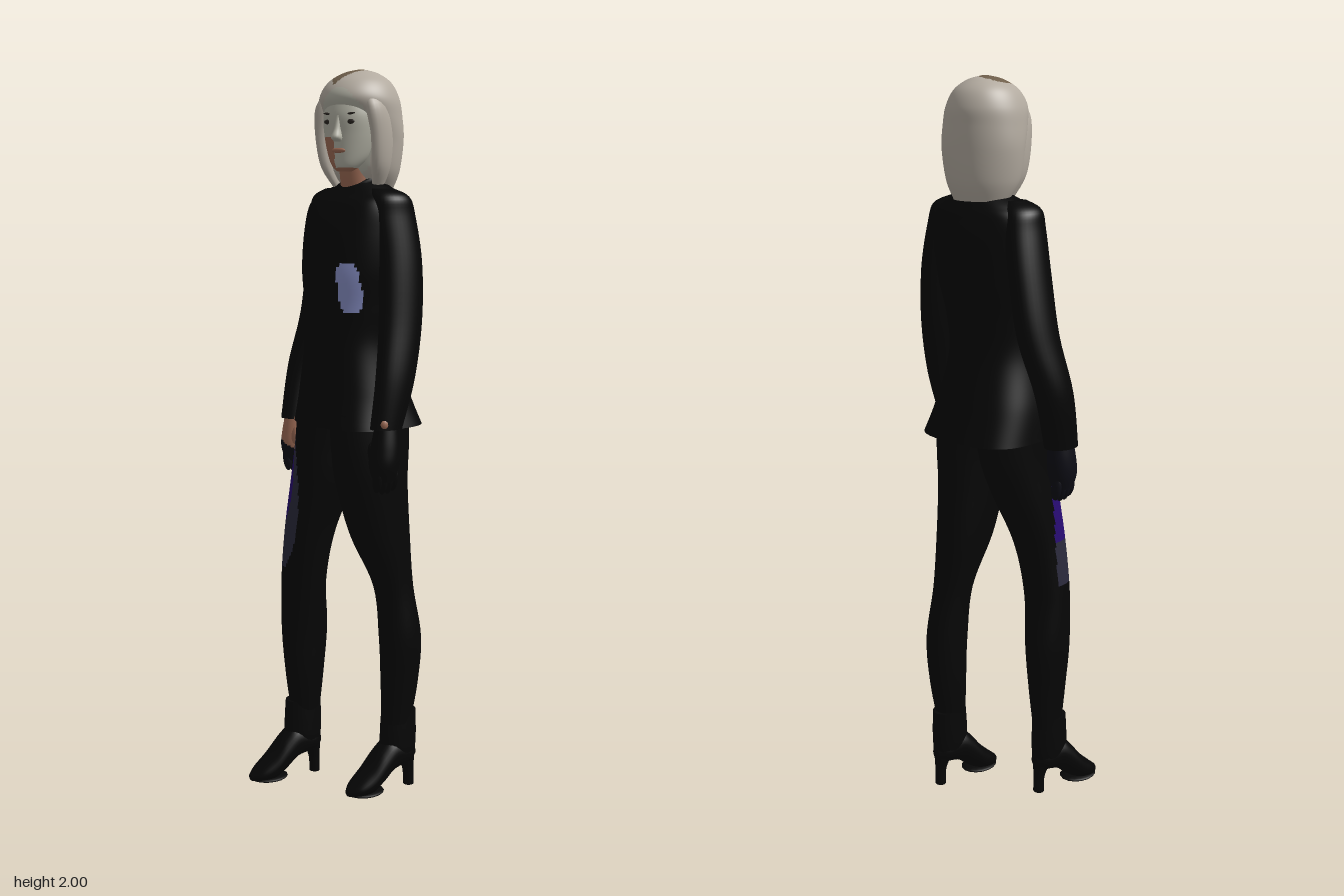
import * as THREE from 'three';

const mat = (name, color) => {
  const m = new THREE.MeshStandardMaterial({ color });
  m.name = name;
  return m;
};

// Smooth body from sections [height, centreX, centreZ, radiusX, radiusZ, roundness = 1], lowest first;
// roundness below 1 is boxier. pick(x, y, z) returns the index of the material for each face.
function loft(name, sections, mats, { seg = 32, steps = 6, pick = () => 0 } = {}) {
  const list = [].concat(mats), pos = [], groups = list.map(() => []);
  const at = (i) => sections[Math.min(Math.max(i, 0), sections.length - 1)];
  const rows = (sections.length - 1) * steps;
  const bend = (v, p) => Math.sign(v) * Math.abs(v) ** p;
  const centres = [];
  for (let r = 0; r <= rows; r++) {
    const i = Math.min(Math.floor(r / steps), sections.length - 2), t = r / steps - i;
    const [y, cx, cz, rx, rz, p = 1] = at(i).map((b, k) => {
      const a = at(i - 1)[k], c = at(i + 1)[k], d = at(i + 2)[k];
      return b + 0.5 * t * (c - a + t * (2 * a - 5 * b + 4 * c - d + t * (3 * (b - c) + d - a)));
    });
    centres.push([cx, y, cz]);
    for (let j = 0; j < seg; j++) {
      const a = (j / seg) * Math.PI * 2;
      pos.push(cx + rx * bend(Math.cos(a), p), y, cz + rz * bend(Math.sin(a), p));
    }
  }
  const mid = (a, b, k) => (pos[a * 3 + k] + pos[b * 3 + k]) / 2;
  for (let r = 0; r < rows; r++) for (let j = 0; j < seg; j++) {
    const n = (j + 1) % seg, a = r * seg + j, b = r * seg + n, c = a + seg, d = b + seg;
    groups[pick(mid(a, d, 0), mid(a, d, 1), mid(a, d, 2))].push(a, c, b, b, c, d);
  }
  // end caps with their own vertices, so the rims stay sharp
  for (const r of [0, rows]) {
    const start = pos.length / 3;
    pos.push(...pos.slice(r * seg * 3, (r + 1) * seg * 3), ...centres[r]);
    const g = groups[pick(...centres[r])];
    for (let j = 0; j < seg; j++) {
      const a = start + j, b = start + (j + 1) % seg;
      g.push(start + seg, ...(r ? [b, a] : [a, b]));
    }
  }
  const geo = new THREE.BufferGeometry();
  geo.setAttribute('position', new THREE.Float32BufferAttribute(pos, 3));
  geo.setIndex(groups.flat());
  let from = 0;
  groups.forEach((g, i) => { geo.addGroup(from, g.length, i); from += g.length; });
  geo.computeVertexNormals();
  const mesh = new THREE.Mesh(geo, list.length > 1 ? list : list[0]);
  mesh.name = name;
  return mesh;
}

// Stretched ball for small rounded parts
function blob(name, m, [x, y, z], [sx, sy, sz], tilt = 0) {
  const mesh = new THREE.Mesh(new THREE.SphereGeometry(1, 16, 12), m);
  mesh.name = name;
  mesh.position.set(x, y, z);
  mesh.scale.set(sx, sy, sz);
  mesh.rotation.z = tilt;
  return mesh;
}

export function createModel() {
  const black = mat('black cloth', 0x060606), hairMat = mat('silver hair', 0xb3aba0);
  const partMat = mat('brown parting', 0x6e5e4a), faceMat = mat('pale face', 0xb2b1a4);
  const skin = mat('skin', 0x9c6a54), glove = mat('dark glove', 0x0d0d15);
  const purple = mat('purple patch', 0x280c72), slate = mat('slate patch', 0x2b2a3c);
  const badge = mat('light blue badge', 0x8b93ca), dark = mat('eye dark', 0x2b2622);
  const model = new THREE.Group();
  model.name = 'standingWoman';

  // Jacket with a chest badge
  model.add(loft('jacket', [
    [1.06, 0.02, -0.045, 0.17, 0.148, 0.68], [1.15, 0.014, -0.036, 0.155, 0.13, 0.8],
    [1.28, 0.015, -0.022, 0.132, 0.115, 0.92], [1.38, 0.02, -0.022, 0.138, 0.12, 1],
    [1.48, 0.025, -0.028, 0.15, 0.135, 1], [1.58, 0.025, -0.038, 0.156, 0.127, 0.92],
    [1.65, 0.022, -0.045, 0.154, 0.1, 0.82], [1.68, 0.022, -0.052, 0.125, 0.078, 0.9],
    [1.71, 0.028, -0.055, 0.058, 0.055, 1],
  ], [black, badge], {
    seg: 112, steps: 10,
    pick: (x, y, z) => +(z > 0 && Math.abs(x - 0.122) < 0.024 && Math.abs(y - 1.437) < 0.064 &&
      Math.abs(x - 0.122) / 0.024 + Math.abs(y - 1.437) / 0.064 < 1.6),
  }));
  const collar = new THREE.Mesh(new THREE.TorusGeometry(0.054, 0.01, 8, 32), black);
  collar.name = 'collar';
  collar.position.set(0.028, 1.715, -0.05);
  collar.rotation.x = Math.PI / 2 + 0.4;
  model.add(collar);

  // Sleeves
  model.add(loft('leftSleeve', [
    [1.07, 0.208, 0.008, 0.035, 0.047], [1.2, 0.208, -0.022, 0.038, 0.06],
    [1.35, 0.192, -0.052, 0.042, 0.066], [1.5, 0.176, -0.062, 0.044, 0.067],
    [1.62, 0.158, -0.055, 0.045, 0.064], [1.67, 0.15, -0.05, 0.044, 0.053],
    [1.692, 0.12, -0.047, 0.028, 0.03],
  ], black));
  model.add(loft('rightSleeve', [
    [1.05, -0.195, 0.002, 0.04, 0.052], [1.2, -0.2, -0.035, 0.043, 0.06],
    [1.35, -0.17, -0.064, 0.045, 0.066], [1.5, -0.141, -0.064, 0.045, 0.067],
    [1.62, -0.115, -0.055, 0.046, 0.063], [1.67, -0.103, -0.05, 0.045, 0.053],
    [1.692, -0.075, -0.045, 0.028, 0.03],
  ], black));

  // Hands, the right one bare on its inner front
  const hand = (name, cx, cz, side, cover, thumb) => {
    const g = new THREE.Group();
    g.name = name;
    g.add(loft('palm', [
      [0.93, cx, cz + 0.005, 0.026, 0.03], [0.97, cx, cz + 0.005, 0.037, 0.042],
      [1.02, cx, cz, 0.036, 0.042], [1.09, cx, cz - 0.005, 0.026, 0.032],
    ], [cover, thumb], {
      seg: 48, steps: 10,
      pick: (x, y, z) => +(y > 0.985 + (cx - x) * 0.6 && z > cz - 0.01 && x > cx - 0.022),
    }));
    for (let i = 0; i < 4; i++) {
      g.add(blob('finger', cover, [cx + side * 0.004, 0.935 - (i % 3 ? 0.006 : 0), cz - 0.024 + i * 0.018],
        [0.016, 0.036, 0.011], side * -0.15));
    }
    g.add(blob('thumb', thumb, [cx - side * 0.025, 0.998, cz + 0.022], [0.014, 0.034, 0.014], side * 0.2));
    return g;
  };
  model.add(hand('leftHand', 0.206, 0.008, 1, black, black));
  model.add(hand('rightHand', -0.188, 0.012, -1, glove, skin));
  model.add(blob('leftKnuckle', skin, [0.228, 1.085, 0.03], [0.012, 0.016, 0.014]));

  // Trousers: the right leg forward with a patched thigh, the left leg back
  const inside = (x, y, cx, cy, rx, ry) => ((x - cx) / rx) ** 2 + ((y - cy) / ry) ** 2 < 1;
  model.add(loft('rightLeg', [
    [0.2, -0.135, 0.025, 0.036, 0.045, 1], [0.32, -0.13, 0.03, 0.046, 0.06, 1],
    [0.45, -0.13, 0.03, 0.055, 0.069, 0.95], [0.6, -0.118, 0.04, 0.062, 0.062, 0.9],
    [0.75, -0.098, 0.03, 0.068, 0.072, 0.9], [0.9, -0.073, -0.003, 0.08, 0.101, 0.95],
    [1.0, -0.062, -0.024, 0.084, 0.118, 1], [1.1, -0.055, -0.032, 0.09, 0.12, 1],
  ], [black, slate, purple], {
    seg: 80, steps: 12,
    pick: (x, y, z) => z < 0.02 || y > 1.035 ? 0 : inside(x, y, -0.15, 0.91, 0.06, 0.145) ? 2
      : inside(x, y, -0.15, 0.85, 0.086, 0.22) ? 1 : 0,
  }));
  model.add(loft('leftLeg', [
    [0.2, 0.108, -0.118, 0.037, 0.045, 1], [0.32, 0.112, -0.125, 0.047, 0.057, 1],
    [0.45, 0.117, -0.122, 0.053, 0.062, 0.95], [0.6, 0.11, -0.102, 0.052, 0.054, 0.85],
    [0.75, 0.1, -0.062, 0.067, 0.085, 0.85], [0.9, 0.098, -0.033, 0.077, 0.106, 0.9],
    [1.0, 0.097, -0.028, 0.082, 0.119, 1], [1.1, 0.09, -0.03, 0.088, 0.12, 1],
  ], black));

  // High-heeled ankle boots
  const boot = (name, x, z, turn) => {
    const g = new THREE.Group();
    g.name = name;
    g.add(loft('shaft', [
      [0.075, 0, -0.018, 0.024, 0.032], [0.11, 0, -0.004, 0.038, 0.052],
      [0.16, 0, -0.003, 0.039, 0.056], [0.23, 0, -0.004, 0.037, 0.053],
    ], black));
    // lengthwise sections: [forward, sideways, minus height, half width, half height]
    const foot = loft('foot', [
      [-0.055, 0, -0.1, 0.014, 0.016], [-0.03, 0, -0.105, 0.034, 0.036],
      [0.02, 0, -0.108, 0.041, 0.052], [0.06, 0, -0.078, 0.045, 0.053],
      [0.1, 0, -0.042, 0.046, 0.04], [0.14, 0, -0.022, 0.036, 0.022],
      [0.164, 0, -0.014, 0.013, 0.009],
    ], black);
    foot.geometry.rotateX(Math.PI / 2);
    const sole = blob('sole', black, [0, 0.008, 0.106], [0.046, 0.008, 0.056]);
    const heel = loft('heel', [
      [0, 0, -0.04, 0.016, 0.015], [0.05, 0, -0.038, 0.016, 0.017], [0.1, 0, -0.026, 0.028, 0.03],
    ], black, { seg: 16 });
    g.add(foot, sole, heel);
    g.position.set(x, 0, z);
    g.rotation.y = turn;
    return g;
  };
  model.add(boot('rightBoot', -0.138, 0.035, -0.2), boot('leftBoot', 0.107, -0.122, -0.12));

  // Neck
  model.add(loft('neck', [
    [1.66, 0.03, -0.045, 0.05, 0.05], [1.71, 0.034, -0.03, 0.043, 0.045], [1.8, 0.035, -0.018, 0.042, 0.045],
  ], skin));

  // Head, turned a little to its left
  const head = new THREE.Group();
  head.name = 'head';
  head.position.set(0.03, 0, -0.04);
  head.rotation.y = 0.37;
  head.add(loft('face', [
    [1.735, 0, 0.075, 0.018, 0.018], [1.75, 0, 0.066, 0.037, 0.038],
    [1.78, 0, 0.05, 0.056, 0.058], [1.83, 0, 0.044, 0.07, 0.066],
    [1.88, 0, 0.04, 0.074, 0.071], [1.93, 0, 0.026, 0.066, 0.07],
  ], [faceMat, skin], {
    seg: 64, steps: 8, pick: (x, y) => +(y < 1.746 || (x < -0.012 && y < 1.825)),
  }));
  head.add(loft('nose', [
    [1.812, 0, 0.108, 0.01, 0.01], [1.822, 0, 0.114, 0.014, 0.018],
    [1.845, 0, 0.108, 0.009, 0.014], [1.878, 0, 0.103, 0.007, 0.009],
  ], faceMat, { seg: 16 }));
  head.add(blob('mouth', skin, [0, 1.789, 0.106], [0.021, 0.007, 0.006]));
  for (const s of [-1, 1]) {
    head.add(blob('eye', dark, [s * 0.03, 1.862, 0.102], [0.016, 0.007, 0.005]));
    head.add(blob('eyebrow', dark, [s * 0.031, 1.882, 0.102], [0.017, 0.003, 0.004], s * 0.12));
    head.add(loft('frontLock', [
      [1.695, s * 0.06, 0.005, 0.012, 0.02], [1.75, s * 0.078, 0.018, 0.02, 0.038],
      [1.83, s * 0.085, 0.026, 0.022, 0.046], [1.9, s * 0.076, 0.038, 0.024, 0.044],
      [1.945, s * 0.055, 0.035, 0.016, 0.03],
    ], hairMat, { seg: 20 }));
  }

  // Bobbed hair: teardrop parting on the crown, pointed hairline over the forehead
  head.add(loft('hair', [
    [1.69, 0, -0.042, 0.074, 0.055], [1.74, 0, -0.03, 0.098, 0.08],
    [1.82, 0, -0.027, 0.11, 0.088], [1.88, 0, -0.012, 0.11, 0.103],
    [1.925, 0, -0.001, 0.104, 0.111], [1.965, 0, -0.003, 0.082, 0.09],
    [1.99, 0, -0.008, 0.045, 0.05], [2.0, 0, -0.01, 0.008, 0.008],
  ], [hairMat, partMat, faceMat], {
    seg: 96, steps: 14,
    pick: (x, y, z) => {
      const t = (z + 0.045) / 0.14;
      if (z > 0.04 && y < 1.95 && Math.abs(x) < 0.07 * Math.sqrt((1.95 - y) / 0.07)) return 2;
      return +(y > 1.92 && t > 0 && t < 1 && Math.abs(x + 0.022) < 0.105 * Math.sqrt(t) * (1 - t));
    },
  }));
  model.add(head);
  return model;
}
